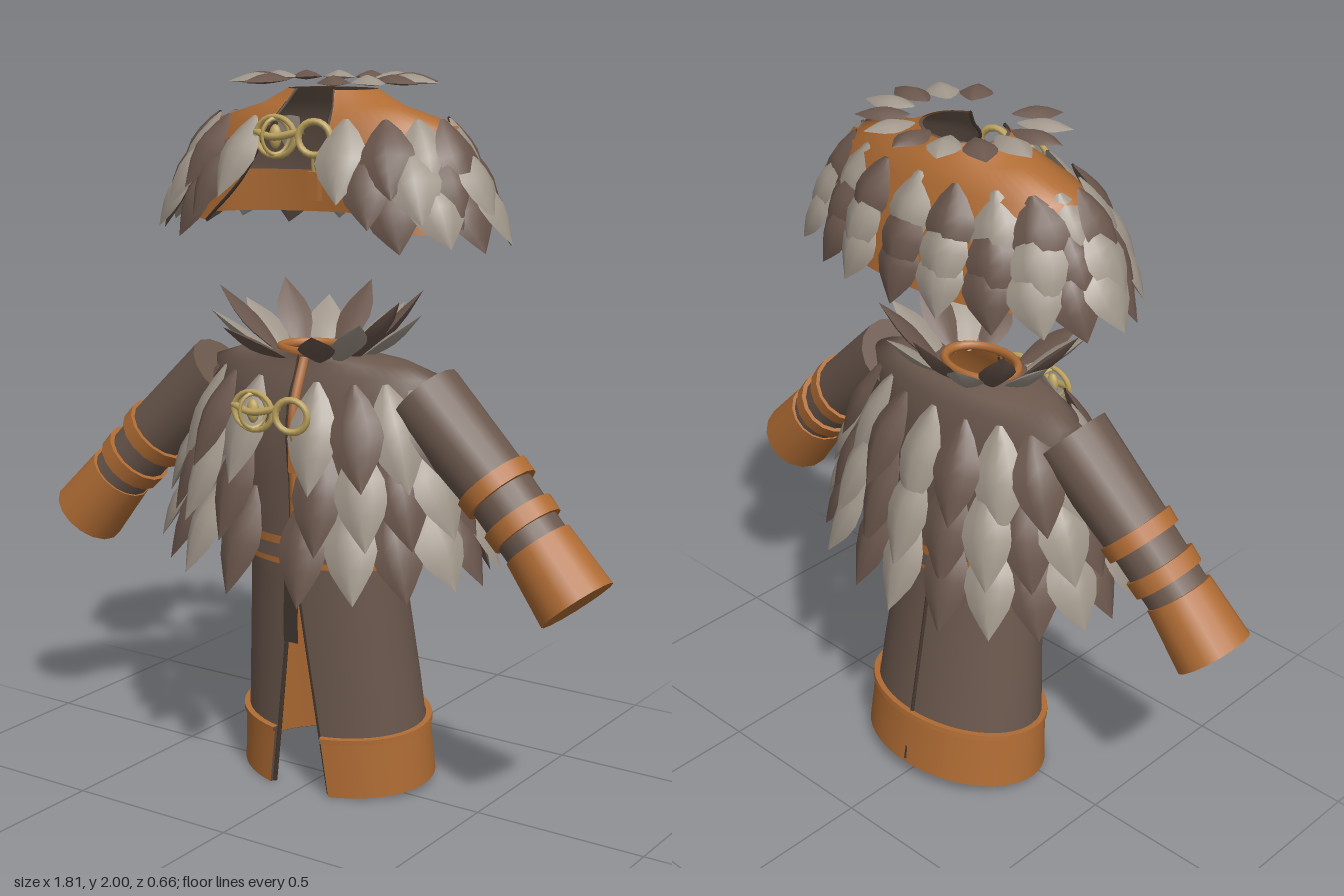
import * as THREE from 'three';

const mat = (name, color, side = THREE.FrontSide) => {
  const m = new THREE.MeshStandardMaterial({ color, side });
  m.name = name;
  return m;
};
const V = (x, y, z) => new THREE.Vector3(x, y, z);

export function createModel() {
  const model = new THREE.Group();
  model.name = 'featheredCoat';
  const cloth = mat('brown cloth', 0x6b584d, THREE.DoubleSide);
  const leather = mat('tan leather', 0xb06c34, THREE.DoubleSide);
  const darkFeather = mat('dark feather', 0x6a564c, THREE.DoubleSide);
  const paleFeather = mat('pale feather', 0xa0968a, THREE.DoubleSide);
  const brass = mat('brass', 0xbea45e);
  const dark = mat('dark strap', 0x463a32, THREE.DoubleSide);

  const add = (parent, name, geo, material) => {
    const m = new THREE.Mesh(geo, material);
    m.name = name;
    parent.add(m);
    return m;
  };
  const group = (name, parent = model) => {
    const g = new THREE.Group();
    g.name = name;
    parent.add(g);
    return g;
  };

  // Grid of points in rows, joined into one smooth sheet
  const sheet = (rows) => {
    const n = rows[0].length, pos = [], idx = [];
    rows.forEach(r => r.forEach(p => pos.push(p.x, p.y, p.z)));
    for (let i = 0; i < rows.length - 1; i++) for (let j = 0; j < n - 1; j++) {
      const a = i * n + j, b = a + n;
      idx.push(a, b, a + 1, a + 1, b, b + 1);
    }
    const g = new THREE.BufferGeometry();
    g.setAttribute('position', new THREE.Float32BufferAttribute(pos, 3));
    g.setIndex(idx);
    g.computeVertexNormals();
    return g;
  };
  // Row: [y, rx, rz, z centre, half angle of the front opening, tilt]; angle 0 is the front
  const onRow = ([y, rx, rz, zc, , tilt = 0], a, off = 0) => {
    const z = zc + (rz + off) * Math.cos(a);
    return V((rx + off) * Math.sin(a), y + tilt * (0.15 - z), z);
  };
  const ring = (row, off) => Array.from({ length: 49 }, (_, j) =>
    onRow(row, row[4] + (2 * Math.PI - 2 * row[4]) * j / 48, off));
  const shell = (rows, off = 0) => sheet(rows.map(r => ring(r, off)));
  const rim = (row, a, b) => sheet([ring(row, a), ring(row, b)]);
  // Dark binding along both sides of the front opening
  const binding = (parent, rows, r = 0.007) => [1, -1].forEach(s => {
    const curve = new THREE.CatmullRomCurve3(rows.map(w => onRow(w, s * w[4], -0.005)));
    add(parent, 'openingEdge', new THREE.TubeGeometry(curve, 24, r, 5), dark);
  });

  // Coat: outer cloth, leather lining, hem band
  const coat = group('coat');
  const skirt = [[0.7, 0.232, 0.165, 0.005, 0.03, 0.1], [0.62, 0.236, 0.168, 0, 0.06, 0.1],
    [0.3, 0.265, 0.19, -0.035, 0.21, 0.1], [0.005, 0.288, 0.21, -0.062, 0.34, 0.1]];
  const torso = [[1.26, 0.13, 0.09, 0.04, 0.05], [1.24, 0.28, 0.11, 0.02, 0.04], [1.21, 0.365, 0.13, 0.01, 0.03],
    [1.1, 0.345, 0.16, 0.02, 0.03], [0.9, 0.28, 0.165, 0.01, 0.03], [0.7, 0.232, 0.165, 0.005, 0.03]];
  [['skirt', skirt], ['torso', torso]].forEach(([name, rows]) => {
    add(coat, name, shell(rows), cloth);
    add(coat, name + 'Lining', shell(rows, -0.01), leather);
    binding(coat, rows);
  });
  const bandTop = [0.165, 0.277, 0.2, -0.05, 0.277, 0.1];
  add(coat, 'hemBand', shell([bandTop, skirt[3]], 0.01), leather);
  add(coat, 'hemTrim', shell([[0.18, 0.276, 0.199, -0.048, 0.27, 0.1], bandTop], 0.017), leather);
  add(coat, 'hemTrimTop', rim([0.18, 0.276, 0.199, -0.048, 0.27, 0.1], 0.017, 0), leather);
  add(coat, 'hemEdge', rim(skirt[3], 0.01, -0.012), dark);

  // Collar, placket and back seam
  const collar = add(coat, 'collarRing', new THREE.TorusGeometry(0.115, 0.014, 8, 32), leather);
  collar.position.set(0, 1.26, 0.04);
  collar.rotation.x = Math.PI / 2;
  collar.scale.y = 0.72;
  const tube = (parent, name, pts, r, m, seg = 24) =>
    add(parent, name, new THREE.TubeGeometry(new THREE.CatmullRomCurve3(pts), seg, r, 6), m);
  tube(coat, 'placket', [V(0.012, 1.25, 0.13), V(0.012, 1.1, 0.185), V(0.012, 0.9, 0.18), V(0.012, 0.68, 0.175)], 0.014, leather);
  tube(coat, 'backSeam', [V(0, 0.7, -0.16), V(0, 0.35, -0.223), V(0, 0.06, -0.277)], 0.006, dark);

  // Belt, buckle and hanging strap
  add(coat, 'belt', shell([[0.755, 0.247, 0.168, 0.005, 0.02], [0.675, 0.238, 0.168, 0.004, 0.02]], 0.012), leather);
  add(coat, 'beltStrap', shell([[0.735, 0.245, 0.168, 0.005, 0.02], [0.695, 0.242, 0.168, 0.005, 0.02]], 0.02), cloth);
  const buckle = add(coat, 'buckle', new THREE.BoxGeometry(0.065, 0.07, 0.02), brass);
  buckle.position.set(0.04, 0.722, 0.215);
  const strap = [V(0.025, 0.7, 0.215), V(0.022, 0.62, 0.21), V(0.008, 0.53, 0.195), V(0.002, 0.455, 0.185)];
  add(coat, 'hangingStrap', sheet(strap.map(p => [p.clone().add(V(-0.024, 0, 0)), p.clone().add(V(0.024, 0, 0))])), dark);

  // Sleeves with two leather bands and a closed cuff
  const limb = (parent, name, a, b, ra, rb, m) => {
    const d = b.clone().sub(a);
    const c = add(parent, name, new THREE.CylinderGeometry(rb, ra, d.length(), 16), m);
    c.position.copy(a).addScaledVector(d, 0.5);
    c.quaternion.setFromUnitVectors(V(0, 1, 0), d.normalize());
  };
  [1, -1].forEach(s => {
    const sleeve = group(s > 0 ? 'leftSleeve' : 'rightSleeve');
    const P = (x, y, z) => V(s * x, y, z);
    limb(sleeve, 'upperSleeve', P(0.335, 1.165, 0.035), P(0.565, 0.955, 0.05), 0.108, 0.097, cloth);
    limb(sleeve, 'lowerSleeve', P(0.565, 0.955, 0.05), P(0.72, 0.795, 0.065), 0.092, 0.088, cloth);
    limb(sleeve, 'upperBand', P(0.553, 0.966, 0.05), P(0.585, 0.934, 0.052), 0.109, 0.107, leather);
    limb(sleeve, 'lowerBand', P(0.635, 0.885, 0.057), P(0.668, 0.85, 0.06), 0.103, 0.101, leather);
    limb(sleeve, 'cuff', P(0.7, 0.82, 0.063), P(0.822, 0.68, 0.072), 0.096, 0.109, leather);
  });

  // Feather: a plump pointed leaf with a ridge, hanging from the origin, one unit long and wide
  const section = [[-1, 0], [-0.5, 0.62], [0, 1], [0.5, 0.62], [1, 0], [1, 0], [0.5, -0.2], [0, -0.35], [-0.5, -0.2], [-1, 0]];
  const leaf = sheet([[0, 0.06], [0.15, 0.27], [0.35, 0.45], [0.5, 0.5], [0.68, 0.4], [0.85, 0.2], [1, 0.004]].map(([t, w]) =>
    section.map(([u, h]) => V(u * w, -t, h * w * 0.45))));
  const feather = (parent, root, tip, width, side, m) => {
    const up = root.clone().sub(tip), len = up.length();
    up.normalize();
    const x = side.clone().addScaledVector(up, -side.dot(up)).normalize();
    const f = add(parent, 'feather', leaf, m);
    f.quaternion.setFromRotationMatrix(new THREE.Matrix4().makeBasis(x, up, x.clone().cross(up)));
    f.position.copy(root);
    f.scale.set(width, len, width);
  };
  // One row of feathers from one side of the opening to the other, in alternating colours
  const featherRow = (parent, name, root, tip, { count, first, width, lift = 0, swap = 0 }) => {
    const g = group(name, parent);
    for (let k = 0; k < count; k++) {
      const a = first + k * (2 * Math.PI - 2 * first) / (count - 1), odd = k % 2;
      const side = onRow(root, a + 0.01).sub(onRow(root, a - 0.01)).normalize();
      const end = onRow(tip, a, odd * 0.015);
      end.y += lift * Math.sin(a) ** 2 + odd * 0.015;
      feather(g, onRow(root, a, odd * 0.008), end, width, side, (odd + swap) % 2 ? darkFeather : paleFeather);
    }
  };

  // Cape feathers round the body
  const cape = group('featherCape');
  featherRow(cape, 'lowerRow', [0.9, 0.385, 0.22, 0.01], [0.605, 0.515, 0.325, 0.005], { count: 19, first: 0.23, width: 0.145, lift: 0.06, swap: 1 });
  featherRow(cape, 'middleRow', [1.05, 0.36, 0.205, 0.015], [0.745, 0.485, 0.305, 0.01], { count: 19, first: 0.33, width: 0.145, lift: 0.05, swap: 1 });
  featherRow(cape, 'upperRow', [1.2, 0.31, 0.17, 0.025], [0.91, 0.44, 0.28, 0.02], { count: 17, first: 0.3, width: 0.145, lift: 0.02 });

  // Separate mantle floating above: leather dome, cloth lining, feathers
  const mantle = group('mantle');
  const dome = [[1.96, 0.13, 0.1, -0.025, 0.5], [1.92, 0.21, 0.125, -0.025, 0.38], [1.87, 0.38, 0.17, -0.03, 0.25],
    [1.72, 0.42, 0.205, -0.03, 0.45], [1.6, 0.44, 0.225, -0.03, 0.85]];
  add(mantle, 'dome', shell(dome), leather);
  add(mantle, 'domeLining', shell(dome.slice(0, 4), -0.01), cloth);
  add(mantle, 'domeHemLining', shell(dome.slice(3), -0.01), leather);
  add(mantle, 'domeHemEdge', rim(dome[4], 0, -0.01), dark);
  binding(mantle, dome, 0.005);
  featherRow(mantle, 'lowerRow', [1.76, 0.42, 0.215, -0.02], [1.56, 0.54, 0.285, -0.015], { count: 17, first: 0.72, width: 0.145, swap: 1 });
  featherRow(mantle, 'middleRow', [1.83, 0.395, 0.195, -0.02], [1.62, 0.51, 0.285, -0.005], { count: 17, first: 0.58, width: 0.145, swap: 1 });
  featherRow(mantle, 'upperRow', [1.89, 0.355, 0.165, -0.02], [1.68, 0.465, 0.265, 0], { count: 17, first: 0.42, width: 0.145 });

  // Upright collar feathers and the flat ring on top
  const ruff = group('collarFeathers'), crown = group('crownFeathers');
  for (let k = -6; k <= 6; k++) {
    const a = Math.PI + k * 0.44, side = V(-Math.cos(a), 0, Math.sin(a));
    const m = k % 2 ? paleFeather : darkFeather;
    const height = 1.37 + (k % 2 ? 0 : 0.05) - (Math.abs(k) > 5 ? 0.08 : 0);
    feather(ruff, onRow([1.24, 0.12, 0.09, 0.04], a), onRow([height, 0.3, 0.27, 0.05], a), 0.1, side, m);
    feather(crown, onRow([1.985, 0.15, 0.12, -0.03], a), onRow([1.978, 0.3, 0.25, -0.03], a), 0.09, side.negate(), m);
  }

  // Brass clasp: wire oval with a bead, linked ring and leather tag
  const clasp = (name, y, z, tagZ) => {
    const g = group(name);
    g.position.set(0, y, z);
    const hoop = (n, r, t, x, sx, sy, ry = 0) => {
      const h = add(g, n, new THREE.TorusGeometry(r, t, 6, 20), brass);
      h.position.x = x;
      h.scale.set(sx, sy, 1);
      h.rotation.y = ry;
    };
    hoop('outerOval', 0.055, 0.008, -0.055, 1.15, 0.95);
    hoop('crossHoop', 0.052, 0.007, -0.055, 0.7, 0.9, 0.9);
    hoop('linkRing', 0.046, 0.01, 0.07, 1, 0.95, 0.2);
    const bead = add(g, 'bead', new THREE.SphereGeometry(0.03, 12, 8), brass);
    bead.position.x = -0.055;
    bead.scale.set(0.6, 1.1, 0.5);
    tube(g, 'crossBar', [V(-0.12, 0.012, 0), V(-0.05, 0.0, 0.015), V(0.04, 0.02, 0)], 0.01, brass);
    tube(g, 'tagCord', [V(0.065, -0.04, 0), V(0.06, -0.07, tagZ / 2), V(0.058, -0.1, tagZ)], 0.005, brass);
    const tag = add(g, 'tag', new THREE.BoxGeometry(0.036, 0.075, 0.025), leather);
    tag.position.set(0.058, -0.125, tagZ);
  };
  clasp('coatClasp', 1.12, 0.275, -0.04);
  clasp('mantleClasp', 1.84, 0.165, -0.015);

  return model;
}
